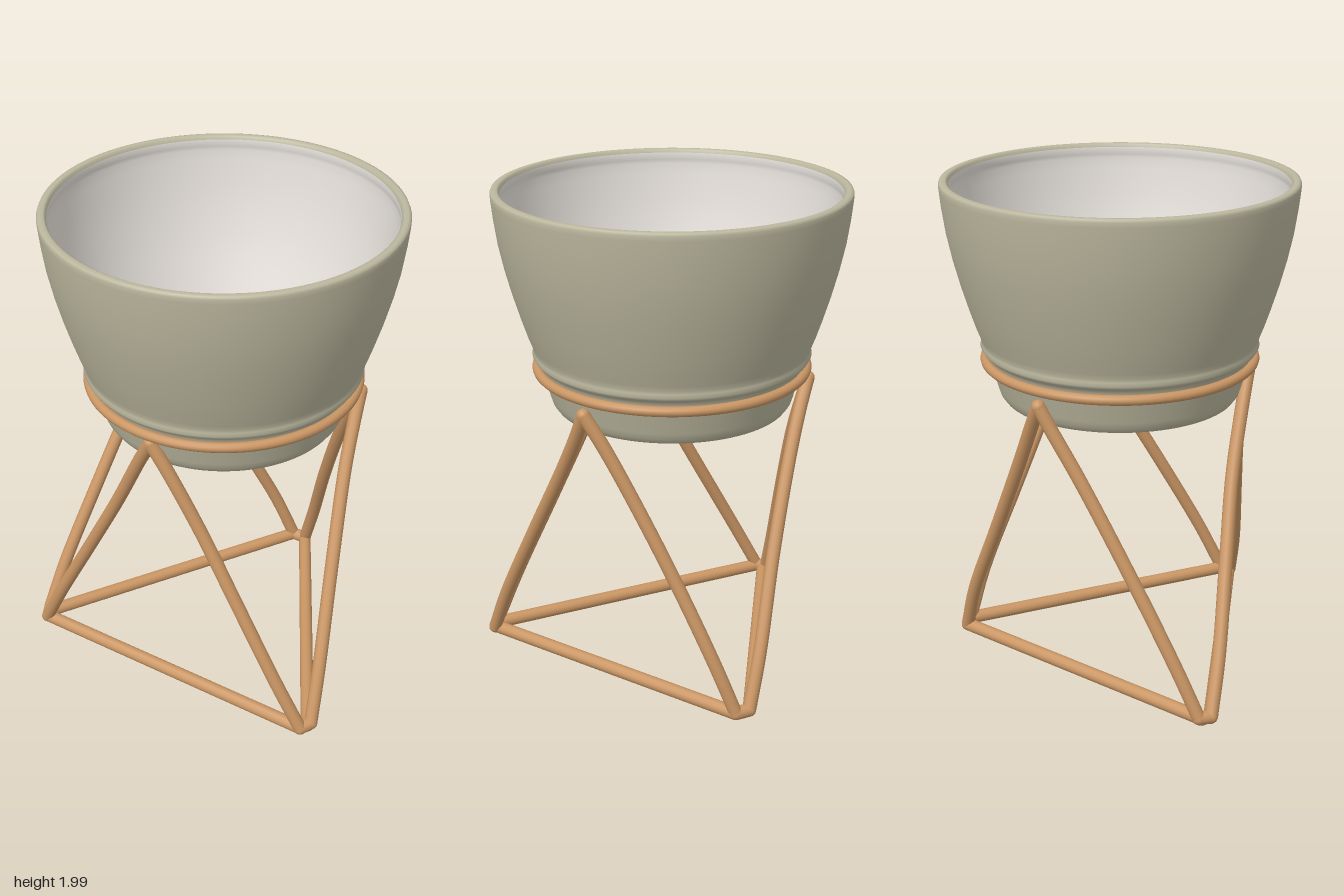
import * as THREE from 'three';

const material = (name, color) => {
  const m = new THREE.MeshStandardMaterial({ color });
  m.name = name;
  return m;
};

export function createModel() {
  const group = new THREE.Group();
  const green = material('sage glaze', 0xbbb79e);
  const white = material('pale interior', 0xe6e1db);
  const copper = material('copper', 0xca9664);

  const add = (name, geometry, mat) => {
    const mesh = new THREE.Mesh(geometry, mat);
    mesh.name = name;
    group.add(mesh);
    return mesh;
  };
  const lathe = (pts) => new THREE.LatheGeometry(pts.map(([r, y]) => new THREE.Vector2(r, y)), 96);

  // Pot: underside, foot, small bead, flared wall and rounded rim
  add('potOuter', lathe([
    [0, 1.125], [0.4, 1.125], [0.44, 1.122], [0.465, 1.129], [0.48, 1.15], [0.488, 1.175],
    [0.508, 1.25], [0.524, 1.305], [0.53, 1.32], [0.546, 1.33], [0.553, 1.342], [0.55, 1.357],
    [0.549, 1.368], [0.556, 1.39], [0.571, 1.43], [0.594, 1.5], [0.624, 1.6], [0.65, 1.7],
    [0.671, 1.8], [0.685, 1.9], [0.692, 1.97], [0.693, 1.988], [0.689, 1.997], [0.68, 2],
    [0.667, 2], [0.66, 1.996], [0.656, 1.985],
  ]), green);

  // Pale inside lip, wall and floor
  add('potInterior', lathe([
    [0.656, 1.985], [0.654, 1.97], [0.657, 1.955], [0.659, 1.94], [0.654, 1.9], [0.64, 1.8],
    [0.619, 1.7], [0.593, 1.6], [0.562, 1.5], [0.524, 1.4], [0.488, 1.3], [0.459, 1.22],
    [0.444, 1.185], [0.425, 1.168], [0.39, 1.16], [0, 1.16],
  ]), white);

  // Ring that carries the pot
  const ring = add('supportRing', new THREE.TorusGeometry(0.535, 0.02, 12, 96), copper);
  ring.rotation.x = Math.PI / 2;
  ring.position.y = 1.285;

  // Stand: floor triangle and three raised points joined by round-ended rods
  const v = (x, y, z) => new THREE.Vector3(x, y, z);
  const r = 0.027;
  const rod = (name, ...points) => {
    const curve = new THREE.CatmullRomCurve3(points);
    add(name, new THREE.TubeGeometry(curve, 24, r, 12), copper);
    for (const p of [points[0], points[points.length - 1]]) {
      add(name + 'End', new THREE.SphereGeometry(r, 16, 12), copper).position.copy(p);
    }
  };

  const frontTop = v(0, 1.235, 0.512);
  rod('frontBar', v(-0.64, 0.035, 0.43), v(0.64, 0.035, 0.43));
  rod('backFoot', v(-0.03, 0.038, -0.657), v(0.03, 0.038, -0.657));

  for (const [side, s] of [['left', 1], ['right', -1]]) {
    const frontFoot = v(0.64 * s, 0.038, 0.434);
    const sideFoot = v(0.664 * s, 0.042, 0.388);
    const backFoot = v(0.03 * s, 0.038, -0.657);
    const top = v(0.483 * s, 1.228, -0.248);
    rod(side + 'Foot', frontFoot, sideFoot);
    rod(side + 'FloorBar', v(0.655 * s, 0.035, 0.4), backFoot);
    rod(side + 'FrontLeg', frontTop, v(0.06 * s, 1.13, 0.498), v(0.195 * s, 0.87, 0.47),
      v(0.34 * s, 0.6, 0.462), v(0.53 * s, 0.25, 0.453), frontFoot);
    rod(side + 'SideLeg', top, v(0.49 * s, 1.13, -0.195), v(0.512 * s, 0.95, -0.09),
      v(0.575 * s, 0.6, 0.105), v(0.638 * s, 0.25, 0.29), sideFoot);
    rod(side + 'BackLeg', top, v(0.433 * s, 1.13, -0.284), v(0.355 * s, 0.95, -0.347),
      v(0.22 * s, 0.6, -0.475), v(0.1 * s, 0.25, -0.604), backFoot);
  }
  return group;
}
